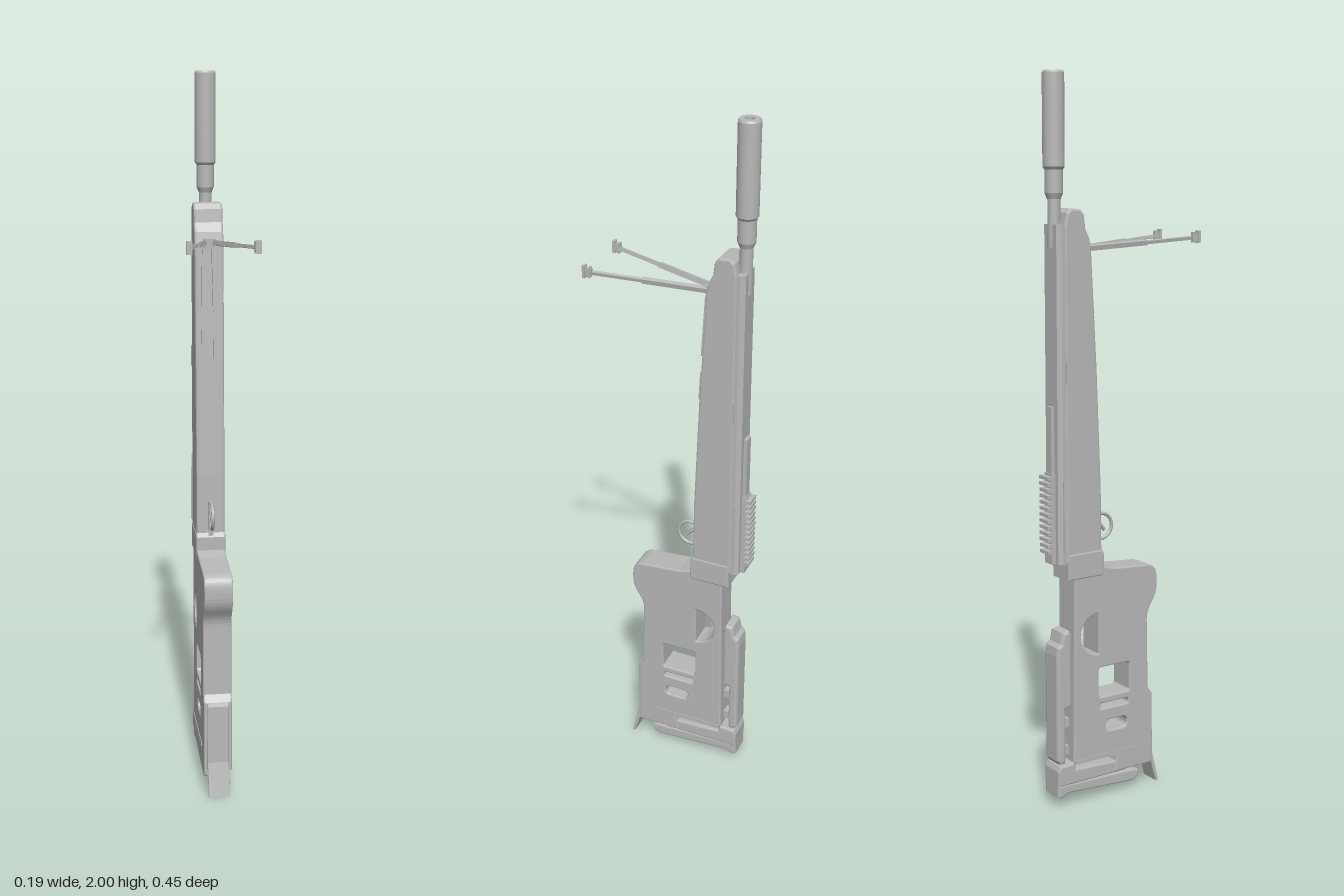
import * as THREE from 'three';

const grey = new THREE.MeshStandardMaterial({ color: 0xb8b8b8 });
grey.name = 'grey';

export function createModel() {
  const model = new THREE.Group();

  const add = (name, geometry) => {
    const mesh = new THREE.Mesh(geometry, grey);
    mesh.name = name;
    model.add(mesh);
    return mesh;
  };
  const box = (name, w, h, d, x, y, z) => {
    const mesh = add(name, new THREE.BoxGeometry(w, h, d));
    mesh.position.set(x, y, z);
    return mesh;
  };
  const shapeOf = pts => new THREE.Shape(pts.map(p => new THREE.Vector2(p[0], p[1])));

  // Side outline in (z, y), extruded across x with a bevelled edge
  const slab = (name, shape, width, bevel) => {
    const depth = width - 2 * bevel;
    const g = new THREE.ExtrudeGeometry(shape, {
      depth, bevelEnabled: bevel > 0, bevelSize: bevel, bevelThickness: bevel,
      bevelOffset: -bevel, bevelSegments: 2, curveSegments: 12,
    });
    g.translate(0, 0, -depth / 2).rotateY(-Math.PI / 2);
    return add(name, g);
  };
  // Plan outline in (x, -z), extruded upwards
  const column = (name, pts, y0, y1) => {
    const g = new THREE.ExtrudeGeometry(shapeOf(pts), { depth: y1 - y0, bevelEnabled: false });
    g.rotateX(-Math.PI / 2).translate(0, y0, 0);
    return add(name, g);
  };
  // Closed round profile around the barrel axis
  const turned = (name, pts) => {
    const profile = [];
    pts.forEach((p, i) => {
      // Doubled points keep the steps crisp
      profile.push(new THREE.Vector2(p[0], p[1]));
      if (i > 0 && i < pts.length - 1) profile.push(new THREE.Vector2(p[0], p[1]));
    });
    const mesh = add(name, new THREE.LatheGeometry(profile, 32));
    mesh.position.z = -0.186;
    return mesh;
  };
  // Bar between two points
  const bar = (name, a, b, w, d) => {
    const from = new THREE.Vector3(...a), to = new THREE.Vector3(...b);
    const mesh = add(name, new THREE.BoxGeometry(w, from.distanceTo(to), d));
    mesh.position.copy(from).lerp(to, 0.5);
    mesh.quaternion.setFromUnitVectors(new THREE.Vector3(0, 1, 0), to.sub(from).normalize());
    return mesh;
  };

  // Barrel and muzzle tube
  turned('barrel', [[0, 1.55], [0.017, 1.55], [0.017, 1.69], [0, 1.69]]);
  turned('muzzleTube', [
    [0, 1.675], [0.018, 1.675], [0.024, 1.69], [0.024, 1.75], [0.029, 1.757],
    [0.029, 1.995], [0.026, 2], [0.012, 2], [0.012, 1.985], [0.006, 1.985], [0.006, 1.9], [0, 1.9],
  ]);

  // Tapering fore-end with a rounded nose
  slab('foreEnd', shapeOf([
    [-0.062, 0.7], [-0.064, 0.9], [-0.077, 1.23], [-0.094, 1.545], [-0.1, 1.575], [-0.112, 1.6],
    [-0.116, 1.635], [-0.128, 1.649], [-0.158, 1.651], [-0.17, 1.64], [-0.178, 1.605], [-0.178, 0.7],
  ]), 0.08, 0.006);
  column('barrelHousing', [
    [-0.037, 0.165], [0.037, 0.165], [0.037, 0.186], [0.029, 0.198], [-0.029, 0.198], [-0.037, 0.186],
  ], 0.7, 1.61);

  // Rail with teeth on the back
  box('railBase', 0.034, 0.25, 0.014, 0, 0.825, -0.204);
  box('railStrip', 0.026, 0.2, 0.01, 0, 1.03, -0.203);
  for (let i = 0; i < 13; i++) box('railTooth', 0.042, 0.009, 0.015, 0, 0.735 + i * 0.017, -0.218);

  // Collar joining fore-end and stock
  slab('collar', shapeOf([
    [-0.055, 0.66], [-0.055, 0.715], [-0.062, 0.727], [-0.172, 0.727], [-0.172, 0.652], [-0.06, 0.652],
  ]), 0.084, 0.005);

  // Trigger and guard
  const guard = add('triggerGuard', new THREE.TorusGeometry(0.036, 0.005, 8, 28));
  guard.rotation.y = Math.PI / 2;
  guard.position.set(0, 0.782, -0.04);
  const curve = new THREE.CatmullRomCurve3([
    new THREE.Vector3(0, 0.8, -0.065), new THREE.Vector3(0, 0.79, -0.045), new THREE.Vector3(0, 0.77, -0.028),
  ]);
  add('trigger', new THREE.TubeGeometry(curve, 8, 0.005, 6));
  box('guardTang', 0.014, 0.1, 0.012, 0, 0.77, -0.06);

  // Skeleton stock
  const stock = new THREE.Shape();
  stock.moveTo(0.113, 0.07);
  stock.lineTo(0.11, 0.28);
  stock.lineTo(0.096, 0.3);
  stock.lineTo(0.092, 0.5);
  stock.bezierCurveTo(0.092, 0.55, 0.128, 0.55, 0.126, 0.61);
  stock.bezierCurveTo(0.126, 0.645, 0.118, 0.657, 0.09, 0.66);
  stock.lineTo(-0.02, 0.668);
  stock.lineTo(-0.06, 0.678);
  stock.lineTo(-0.152, 0.678);
  stock.lineTo(-0.158, 0.13);
  stock.lineTo(-0.01, 0.13);
  stock.lineTo(-0.02, 0.07);
  const thumb = new THREE.Path();
  thumb.absarc(-0.074, 0.488, 0.058, Math.PI / 2, Math.PI * 1.5, false);
  thumb.closePath();
  const windowHole = (z0, z1, y0, y1, r) => {
    const p = new THREE.Path();
    p.absarc(z0 + r, y0 + r, r, Math.PI, Math.PI * 1.5);
    p.absarc(z1 - r, y0 + r, r, -Math.PI / 2, 0);
    p.absarc(z1 - r, y1 - r, r, 0, Math.PI / 2);
    p.absarc(z0 + r, y1 - r, r, Math.PI / 2, Math.PI);
    p.closePath();
    return p;
  };
  stock.holes.push(thumb,
    windowHole(-0.073, 0.03, 0.302, 0.388, 0.008),
    windowHole(-0.07, 0.026, 0.266, 0.282, 0.007),
    windowHole(-0.05, 0.022, 0.198, 0.23, 0.014));
  slab('stock', stock, 0.08, 0.004);

  // Raised ledge along the foot of the stock
  box('stockLedge', 0.084, 0.012, 0.21, 0, 0.128, -0.05);

  // Cheek rest on the back, with its posts
  slab('cheekRest', shapeOf([
    [-0.158, 0.5], [-0.165, 0.51], [-0.185, 0.505], [-0.192, 0.475], [-0.203, 0.465],
    [-0.206, 0.44], [-0.206, 0.14], [-0.198, 0.128], [-0.178, 0.128], [-0.178, 0.285], [-0.158, 0.29],
  ]), 0.066, 0.008);
  for (const y of [0.16, 0.24]) box('cheekPost', 0.03, 0.025, 0.04, 0, y, -0.165);

  // Butt plate and pad
  slab('buttPlate', shapeOf([
    [0.02, 0.066], [0.02, 0.1], [-0.15, 0.108], [-0.15, 0.128], [-0.2, 0.124], [-0.206, 0.11], [-0.206, 0.066],
  ]), 0.076, 0.005);
  slab('buttPad', shapeOf([
    [0.066, 0.035], [0.068, 0.055], [0.05, 0.062], [-0.07, 0.066], [-0.206, 0.07],
    [-0.206, 0.032], [-0.195, 0.03], [-0.17, 0.04], [0, 0.028], [0.05, 0.025],
  ]), 0.07, 0.006);

  // Front plate ending in an angled hook
  slab('hook', shapeOf([
    [0.112, 0.28], [0.116, 0.27], [0.118, 0.1], [0.141, 0.004], [0.132, 0.004], [0.106, 0.1], [0.106, 0.28],
  ]), 0.06, 0.002);

  // Bipod mount and sloping strips on the fore-end
  box('bipodMount', 0.034, 0.026, 0.022, 0, 1.545, -0.095);
  for (const s of [-1, 1]) {
    bar('longStrip', [s * 0.016, 1.36, -0.081], [s * 0.013, 1.53, -0.09], 0.014, 0.012);
    bar('shortStrip', [s * 0.017, 1.23, -0.075], [s * 0.017, 1.31, -0.079], 0.014, 0.01);

    // Two-stage leg with a spool foot
    const at = t => [s * (0.013 + 0.072 * t), 1.546 + 0.024 * t, -0.092 + 0.3 * t];
    bar('upperLeg', at(0), at(0.56), 0.013, 0.013);
    bar('lowerLeg', at(0.5), at(1), 0.009, 0.009);
    box('footNeck', 0.009, 0.02, 0.02, s * 0.087, 1.572, 0.212);
    box('footCollar', 0.015, 0.028, 0.006, s * 0.086, 1.571, 0.208);
    box('footPad', 0.015, 0.034, 0.008, s * 0.088, 1.572, 0.222);

    // Small side details
    box('sideLatch', 0.006, 0.06, 0.006, s * 0.039, 1.22, -0.174);
    box('sideRib', 0.006, 0.2, 0.006, s * 0.038, 0.83, -0.183);
  }

  return model;
}
